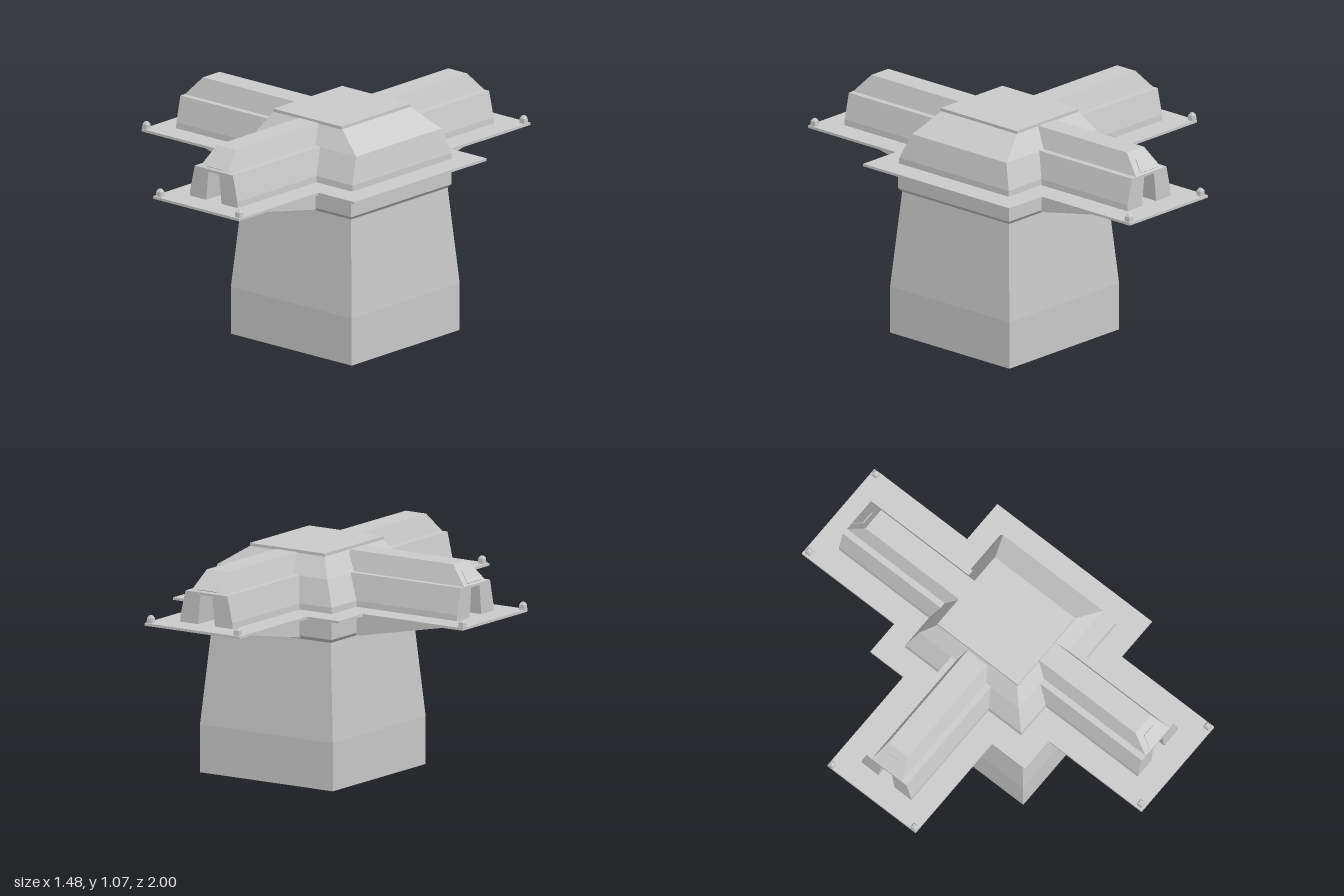
import * as THREE from 'three';

const material = new THREE.MeshStandardMaterial({
  color: 0xcccccc, flatShading: true, side: THREE.DoubleSide,
});
const CX = 0.2575; // x of the front and back halls

function add(parent, name, geometry) {
  const mesh = new THREE.Mesh(geometry, material);
  mesh.name = name;
  parent.add(mesh);
  return mesh;
}

// Stacks rectangles [y, x0, x1, z0, z1]. Below gapTop the front, back and
// -x walls are left open in the middle, where the halls run in.
function loft(levels, gapTop = -1) {
  const pos = [];
  const quad = (a, b, c, d) => pos.push(...a, ...b, ...c, ...a, ...c, ...d);
  const corners = ([y, x0, x1, z0, z1]) =>
    [[x0, y, z1], [x1, y, z1], [x1, y, z0], [x0, y, z0]];
  // point on the edge a-b where the coordinate on the axis equals v
  const at = (a, b, axis, v) => {
    const t = (v - a[axis]) / (b[axis] - a[axis]);
    return a.map((n, i) => n + (b[i] - n) * t);
  };
  for (let l = 0; l < levels.length - 1; l++) {
    const lo = corners(levels[l]), hi = corners(levels[l + 1]);
    for (let s = 0; s < 4; s++) {
      const a = lo[s], b = lo[(s + 1) % 4], c = hi[(s + 1) % 4], d = hi[s];
      if (s === 1 || levels[l + 1][0] > gapTop) {
        quad(a, b, c, d);
        continue;
      }
      const axis = s === 3 ? 2 : 0, mid = s === 3 ? 0 : CX;
      const dir = Math.sign(b[axis] - a[axis]) * 0.09;
      quad(a, at(a, b, axis, mid - dir), at(d, c, axis, mid - dir), d);
      quad(at(a, b, axis, mid + dir), b, c, at(d, c, axis, mid + dir));
    }
  }
  quad(...corners(levels[levels.length - 1]));
  if (gapTop < 0) quad(...corners(levels[0]).reverse());
  const g = new THREE.BufferGeometry();
  g.setAttribute('position', new THREE.Float32BufferAttribute(pos, 3));
  g.computeVertexNormals();
  return g;
}

function extrude(points, depth) {
  const shape = new THREE.Shape(points.map(([x, y]) => new THREE.Vector2(x, y)));
  return new THREE.ExtrudeGeometry(shape, { depth, bevelEnabled: false });
}

// One hall with its portal, brackets and posts, pointing along +z
function makeArm(name) {
  const arm = new THREE.Group();
  arm.name = name;

  // lower hall with the passage cut through it
  const side = [[0.048, 0.815], [0.147, 0.815], [0.145, 0.85], [0.117, 0.972],
    [0, 0.972], [0, 0.96], [0.033, 0.96]];
  const right = side.slice(0, 4), left = right.map(([x, y]) => [-x, y]).reverse();
  const lower = extrude([...right, ...left, [-0.033, 0.96], [0.033, 0.96]], 0.66);
  add(arm, 'lowerHall', lower).position.z = 0.22;

  // hipped roof
  add(arm, 'hallRoof', loft([
    [0.971, -0.088, 0.088, 0.22, 0.88],
    [1.063, -0.057, 0.057, 0.22, 0.795],
  ]));

  // hood plate lying on the hip
  const hood = add(arm, 'portalHood',
    extrude([[-0.053, 0.012], [0.053, 0.012], [0.032, 0.082], [-0.032, 0.082]], 0.004));
  hood.position.set(0, 0.971, 0.88);
  hood.rotation.x = -Math.atan2(0.085, 0.092);

  // pair of tapering brackets under the deck, and a sloping web between them
  const profile = (pts, width, x, label) => {
    const g = extrude(pts, width);
    g.rotateY(-Math.PI / 2); // profile x becomes z
    g.translate(x + width / 2, 0, 0);
    add(arm, label, g);
  };
  const fin = [[0.31, 0.69], [0.34, 0.69], [0.88, 0.797], [0.88, 0.812], [0.31, 0.812]];
  for (const s of [-1, 1]) profile(fin, 0.056, s * 0.118, 'bracket');
  profile([[0.31, 0.705], [0.35, 0.705], [0.55, 0.795], [0.55, 0.812], [0.31, 0.812]],
    0.18, 0, 'bracketWeb');

  // corner posts
  for (const s of [-1, 1]) {
    const x = s * 0.2425, z = 0.977;
    const r = (y, h) => [y, x - h, x + h, z - h, z + h];
    add(arm, 'cornerPost', loft([r(0.82, 0.014), r(0.845, 0.013), r(0.857, 0.006)]));
  }
  return arm;
}

export function createModel() {
  const model = new THREE.Group();
  model.name = 'crossShapedStation';

  // tapered tower with a projecting collar
  const square = (y, h) => [y, 0.278 - h, 0.278 + h, -h, h];
  add(model, 'tower', loft([
    square(0, 0.371), square(0.225, 0.371), square(0.683, 0.332),
    square(0.7, 0.345), square(0.812, 0.345),
  ]));

  // stepped, cross-shaped deck
  const half = [[0.74, 0.455], [0.52, 0.455], [0.52, 1], [-0.01, 1],
    [-0.01, 0.455], [-0.185, 0.455], [-0.185, 0.26], [-0.74, 0.26]];
  const deck = extrude([...half, ...half.map(([x, z]) => [x, -z]).reverse()], 0.012);
  deck.rotateX(-Math.PI / 2);
  add(model, 'deck', deck).position.y = 0.81;

  // central hall, hollow where the passages meet
  add(model, 'centralHall', loft([
    [0.815, -0.069, 0.625, -0.345, 0.341],
    [0.85, -0.067, 0.624, -0.343, 0.337],
    [0.97, -0.015, 0.597, -0.305, 0.282],
    [1.06, 0.042, 0.46, -0.243, 0.225],
  ], 0.971));
  add(model, 'roofSlab', loft([
    [1.06, 0.042, 0.46, -0.243, 0.23],
    [1.074, 0.042, 0.46, -0.243, 0.23],
  ]));

  // three halls
  const arms = [['frontArm', CX, 0], ['backArm', CX, Math.PI], ['rightArm', 0.25, -Math.PI / 2]];
  for (const [name, x, turn] of arms) {
    const arm = makeArm(name);
    arm.position.x = x;
    arm.rotation.y = turn;
    model.add(arm);
  }
  return model;
}
